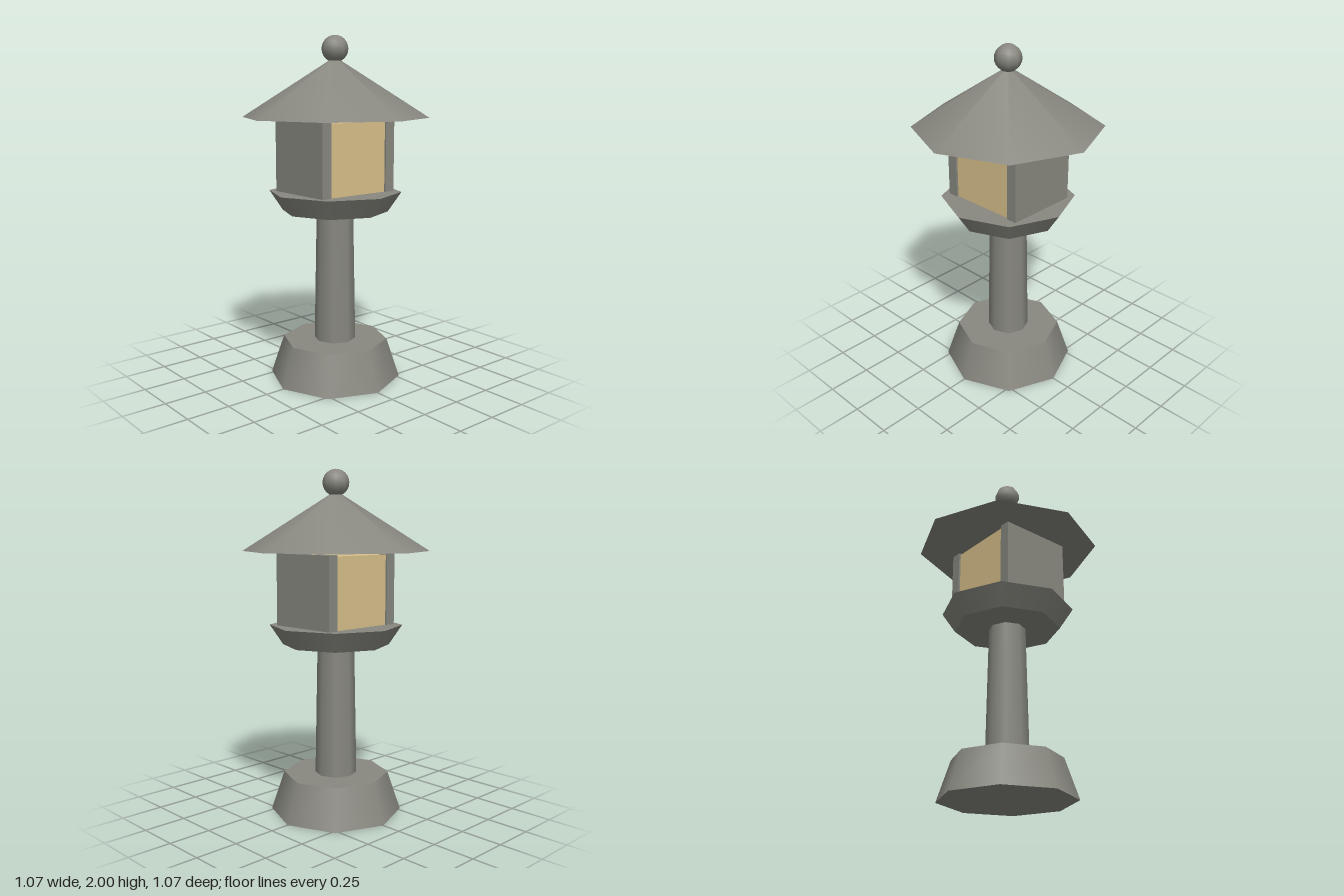
import * as THREE from 'three';

export function createModel() {
  const group = new THREE.Group();
  group.name = 'stoneLantern';

  const stone = new THREE.MeshStandardMaterial({ color: 0x888880 });
  stone.name = 'grey stone';
  const paper = new THREE.MeshStandardMaterial({ color: 0xd9c08b });
  paper.name = 'warm window';

  const add = (name, geometry, material, x, y, z = 0) => {
    const mesh = new THREE.Mesh(geometry, material);
    mesh.name = name;
    mesh.position.set(x, y, z);
    group.add(mesh);
  };

  // Eight-sided tapered block standing between two heights
  const block = (name, rTop, rBottom, y0, y1) =>
    add(name, new THREE.CylinderGeometry(rTop, rBottom, y1 - y0, 8), stone, 0, (y0 + y1) / 2);

  block('base', 0.308, 0.385, 0, 0.23);
  block('post', 0.107, 0.122, 0.23, 1.0);
  block('platform', 0.385, 0.308, 1.0, 1.115);

  // Light chamber: slightly recessed window block between two stone walls
  add('window', new THREE.BoxGeometry(0.4, 0.405, 0.408), paper, 0, 1.3175);
  for (const side of [-1, 1]) {
    add(side > 0 ? 'leftWall' : 'rightWall',
      new THREE.BoxGeometry(0.063, 0.412, 0.43), stone, side * 0.2315, 1.321);
  }

  // Roof and finial
  add('roof', new THREE.ConeGeometry(0.537, 0.34, 8), stone, 0, 1.71);
  add('finial', new THREE.SphereGeometry(0.076, 8, 12), stone, 0, 1.924);

  return group;
}
